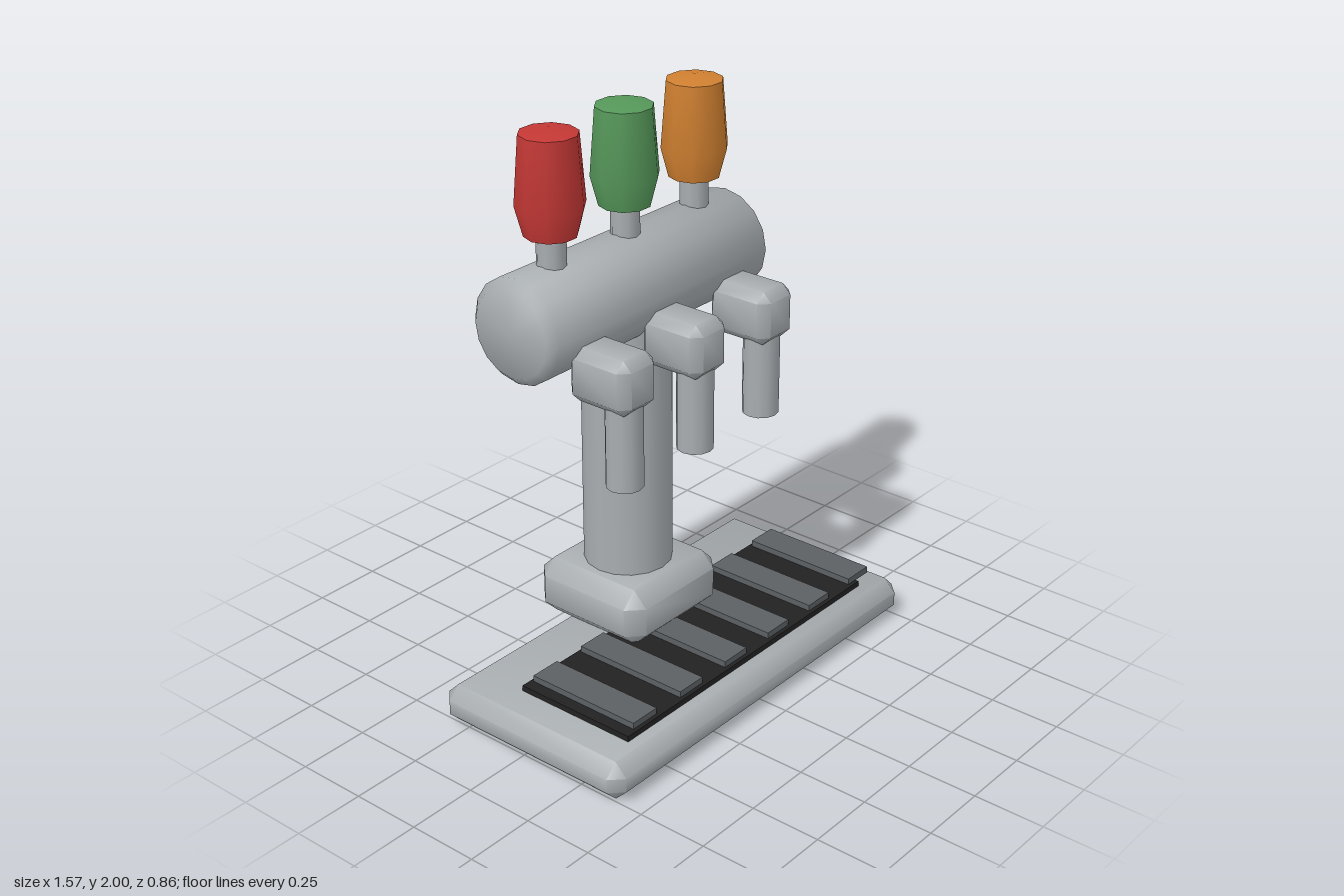
import * as THREE from 'three';
import { toCreasedNormals } from 'three/addons/utils/BufferGeometryUtils.js';
import { ConvexGeometry } from 'three/addons/geometries/ConvexGeometry.js';

const CREASE = 0.9;
const TOWER_Z = -0.195;

function material(name, color) {
  const m = new THREE.MeshStandardMaterial({ color });
  m.name = name;
  return m;
}

// Box with a single softened chamfer on every edge
function chamferBox(w, h, d, c) {
  const points = [];
  for (const sx of [-1, 1]) for (const sy of [-1, 1]) for (const sz of [-1, 1]) {
    const x = w / 2, y = h / 2, z = d / 2;
    points.push(
      new THREE.Vector3(sx * x, sy * (y - c), sz * (z - c)),
      new THREE.Vector3(sx * (x - c), sy * y, sz * (z - c)),
      new THREE.Vector3(sx * (x - c), sy * (y - c), sz * z)
    );
  }
  return toCreasedNormals(new ConvexGeometry(points), CREASE);
}

// Turned solid from [radius, height] pairs, listed bottom to top
function turned(profile, sides) {
  const points = profile.map(([r, y]) => new THREE.Vector2(r, y));
  return toCreasedNormals(new THREE.LatheGeometry(points, sides), CREASE);
}

export function createModel() {
  const model = new THREE.Group();
  model.name = 'drinkTap';

  const steel = material('steel', 0xa8adb0);
  const black = material('trayBlack', 0x222222);
  const slatGrey = material('slatGrey', 0x5c6063);
  const red = material('handleRed', 0xc43835);
  const green = material('handleGreen', 0x56985a);
  const orange = material('handleOrange', 0xd08030);

  function add(name, geometry, mat, x, y, z, parent = model) {
    const mesh = new THREE.Mesh(geometry, mat);
    mesh.name = name;
    mesh.position.set(x, y, z);
    parent.add(mesh);
    return mesh;
  }

  // Base plate and drip tray
  add('basePlate', chamferBox(1.565, 0.14, 0.78, 0.045), steel, 0, 0.07, 0.04);
  add('dripTray', new THREE.BoxGeometry(1.26, 0.024, 0.46), black, 0, 0.148, 0.115);
  const slat = new THREE.BoxGeometry(0.115, 0.024, 0.435);
  for (let i = 0; i < 6; i++) {
    add('traySlat', slat, slatGrey, -0.53 + 0.235 * i, 0.17, 0.113);
  }

  // Tower foot, column and crossbar
  add('towerFoot', chamferBox(0.47, 0.213, 0.47, 0.055), steel, 0, 0.249, TOWER_Z);
  add('column', new THREE.CylinderGeometry(0.154, 0.154, 1.02, 16), steel, 0, 0.83, TOWER_Z);
  const bar = turned([
    [0, -0.548], [0.15, -0.548], [0.18, -0.518],
    [0.18, 0.518], [0.15, 0.548], [0, 0.548]
  ], 16);
  add('crossbar', bar, steel, 0, 1.375, TOWER_Z).rotation.z = -Math.PI / 2;

  // Three taps, each with a valve block, spout, stem and coloured handle
  const valve = chamferBox(0.17, 0.19, 0.25, 0.033);
  const spout = new THREE.CylinderGeometry(0.063, 0.063, 0.332, 12);
  const stem = new THREE.CylinderGeometry(0.049, 0.049, 0.2, 10);
  const handle = turned([
    [0, 1.65], [0.088, 1.65], [0.115, 1.753], [0.097, 1.982], [0, 2]
  ], 10);
  [red, green, orange].forEach((color, i) => {
    const tap = new THREE.Group();
    tap.name = 'tap';
    tap.position.x = (i - 1) * 0.352;
    model.add(tap);
    add('valveBlock', valve, steel, 0, 1.238, 0.052, tap);
    add('spout', spout, steel, 0, 1.034, 0.1, tap);
    add('handleStem', stem, steel, 0, 1.56, TOWER_Z, tap);
    add('handle', handle, color, 0, 0, TOWER_Z, tap).rotation.y = Math.PI / 2;
  });

  return model;
}
